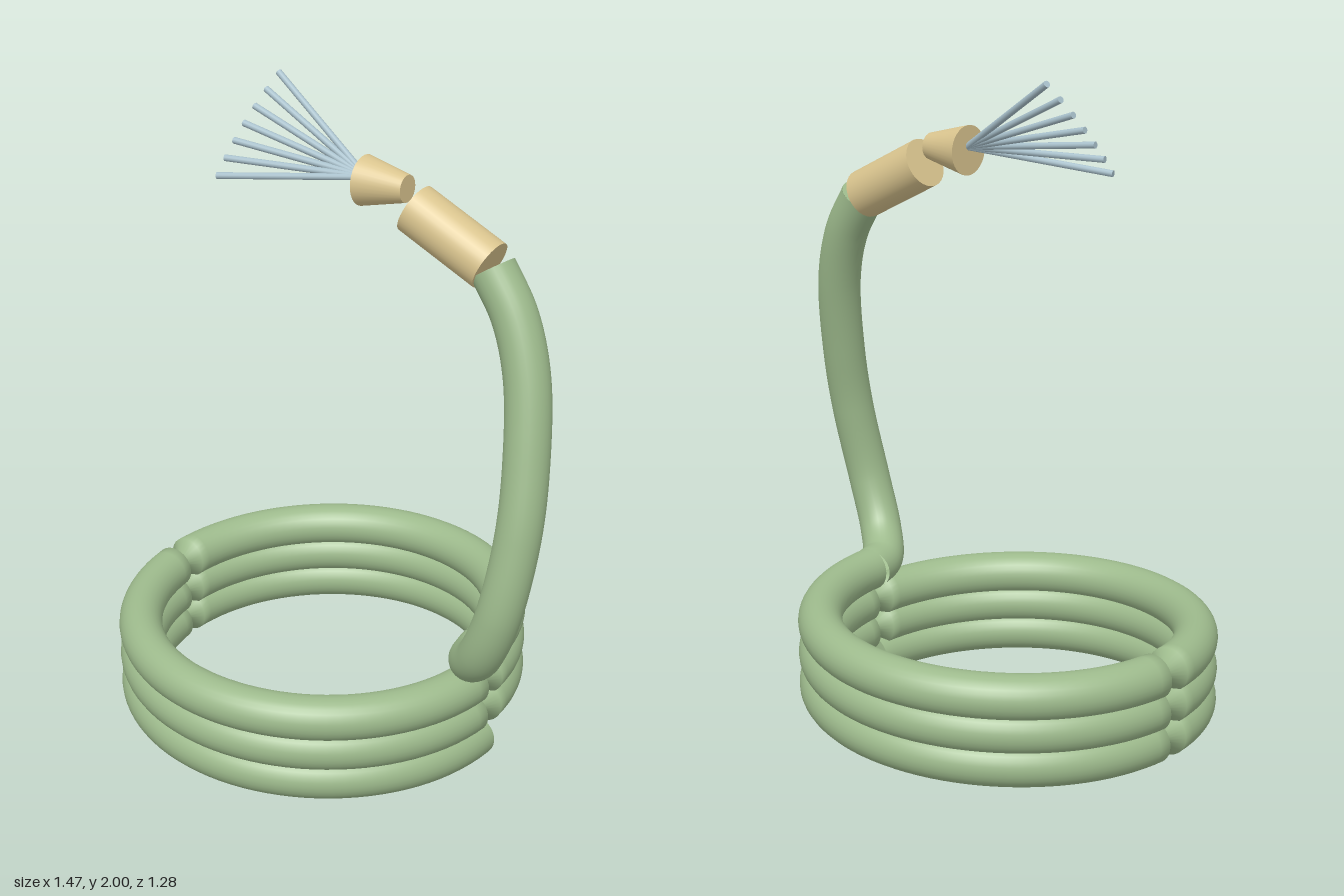
import * as THREE from 'three';

const V = (x, y, z) => new THREE.Vector3(x, y, z);
const mat = (color) => new THREE.MeshStandardMaterial({ color, side: THREE.DoubleSide });

const TUBE = 0.067, RING = 0.572, PITCH = 0.1, TURNS = 3, CENTRE_X = -0.1;

function add(group, name, geometry, material) {
  const mesh = new THREE.Mesh(geometry, material);
  mesh.name = name;
  group.add(mesh);
  return mesh;
}

// Cylinder running from a to b
function rod(group, name, a, b, rA, rB, sides, material) {
  const mesh = add(group, name, new THREE.CylinderGeometry(rB, rA, a.distanceTo(b), sides), material);
  mesh.position.copy(a).lerp(b, 0.5);
  mesh.quaternion.setFromUnitVectors(V(0, 1, 0), b.clone().sub(a).normalize());
  return mesh;
}

// Flat disc closing a tube end
function cap(group, name, point, direction, material) {
  const mesh = add(group, name, new THREE.CircleGeometry(TUBE, 28), material);
  mesh.position.copy(point);
  mesh.quaternion.setFromUnitVectors(V(0, 0, 1), direction);
}

const coilPoint = (a) =>
  V(CENTRE_X + RING * Math.cos(a), TUBE + (PITCH * a) / (2 * Math.PI), RING * Math.sin(a));

// Helical tube, pinched to a narrow waist at every half turn
function coilGeometry() {
  const sides = 28, halves = TURNS * 2, pinch = 0.062, waist = 0.4;
  const rings = [];
  for (let h = 0; h < halves; h++) {
    const start = h * Math.PI, end = start + Math.PI;
    const first = h > 0, last = h < halves - 1;
    rings.push([start, first ? waist : 1]);
    const a0 = first ? start + pinch : start + 0.03;
    const a1 = last ? end - pinch : end;
    for (let i = 0; i <= 48; i++) rings.push([a0 + ((a1 - a0) * i) / 48, 1]);
  }
  const positions = [], index = [];
  rings.forEach(([a, scale], k) => {
    const c = coilPoint(a);
    for (let j = 0; j < sides; j++) {
      const t = (j / sides) * Math.PI * 2;
      const out = TUBE * scale * Math.cos(t), up = TUBE * scale * Math.sin(t);
      positions.push(c.x + out * Math.cos(a), c.y + up, c.z + out * Math.sin(a));
      if (k === rings.length - 1) continue;
      const p = k * sides + j, q = k * sides + ((j + 1) % sides);
      index.push(p, q, p + sides, q, q + sides, p + sides);
    }
  });
  const g = new THREE.BufferGeometry();
  g.setAttribute('position', new THREE.Float32BufferAttribute(positions, 3));
  g.setIndex(index);
  g.computeVertexNormals();
  return g;
}

export function createModel() {
  const model = new THREE.Group();
  model.name = 'coiledCable';
  const green = mat(0x9dba8c), tan = mat(0xd9c48e), steel = mat(0xa9c1cc);

  // Coil of three stacked turns
  add(model, 'coil', coilGeometry(), green);
  cap(model, 'coilEndCap', coilPoint(0), V(0, 0, -1), green);

  // Free end rising from the top of the coil
  const riser = new THREE.CatmullRomCurve3([
    V(0.472, 0.367, 0), V(0.495, 0.38, 0.08), V(0.565, 0.45, 0.148), V(0.63, 0.6, 0.168),
    V(0.665, 0.85, 0.13), V(0.658, 1.06, 0.085), V(0.622, 1.3, 0.035), V(0.563, 1.46, 0.01),
    V(0.482, 1.583, 0),
  ]);
  add(model, 'riser', new THREE.TubeGeometry(riser, 100, TUBE, 28), green);
  cap(model, 'riserEndCap', riser.getPoint(1), riser.getTangent(1), green);

  // Sleeve and tapered collar
  rod(model, 'sleeve', V(0.472, 1.588, 0), V(0.225, 1.708, 0), 0.075, 0.075, 32, tan);
  rod(model, 'collar', V(0.2, 1.76, 0), V(0.055, 1.76, 0), 0.04, 0.074, 32, tan);

  // Fan of bare wires
  const wires = new THREE.Group();
  wires.name = 'wires';
  model.add(wires);
  for (let i = 0; i < 7; i++) {
    const tip = V(-0.39 + 0.0017 * (6 - i) ** 2, 1.99 - 0.0445 * i, -0.12 + 0.038 * i);
    rod(wires, 'wire' + (i + 1), V(0.06, 1.77, 0), tip, 0.01, 0.01, 10, steel);
  }
  return model;
}
